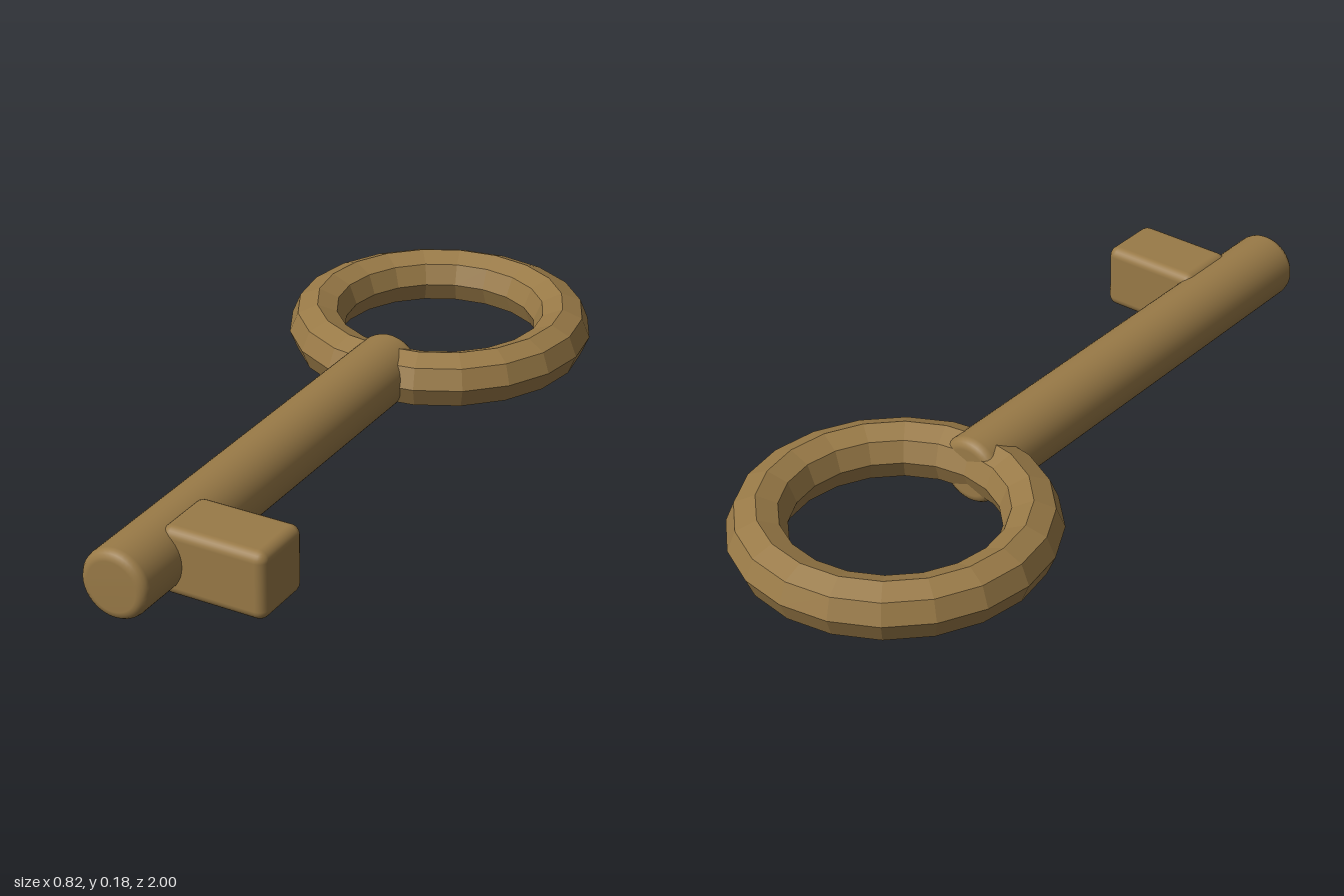
import * as THREE from 'three';
import { RoundedBoxGeometry } from 'three/addons/geometries/RoundedBoxGeometry.js';

export function createModel() {
  const key = new THREE.Group();
  key.name = 'key';
  const brass = new THREE.MeshStandardMaterial({ color: 0x997a47 });
  brass.name = 'brass';
  // faceted version of the same brass for the ring
  const facetedBrass = brass.clone();
  facetedBrass.flatShading = true;

  const midY = 0.092;
  const add = (name, geometry, material, x, y, z) => {
    const mesh = new THREE.Mesh(geometry, material);
    mesh.name = name;
    mesh.position.set(x, y, z);
    key.add(mesh);
    return mesh;
  };

  // ring handle with an eight-sided section
  const ring = new THREE.TorusGeometry(0.333, 0.075, 8, 20);
  ring.rotateX(Math.PI / 2);
  add('ringHandle', ring, facetedBrass, 0, midY, -0.592);

  // round shaft with softened ends
  const radius = 0.09, half = 0.66, bevel = 0.025;
  const profile = [new THREE.Vector2(0, -half)];
  for (const side of [-1, 1]) {
    for (let i = 0; i <= 4; i++) {
      const a = (side < 0 ? i - 4 : i) * Math.PI / 8;
      profile.push(new THREE.Vector2(
        radius - bevel + bevel * Math.cos(a),
        side * (half - bevel) + bevel * Math.sin(a)));
    }
  }
  profile.push(new THREE.Vector2(0, half));
  const shaft = new THREE.LatheGeometry(profile, 40);
  shaft.rotateX(Math.PI / 2);
  add('shaft', shaft, brass, 0, midY, 0.34);

  // single rounded tooth
  add('tooth', new RoundedBoxGeometry(0.28, 0.178, 0.18, 3, 0.026), brass, 0.168, midY, 0.755);

  return key;
}
